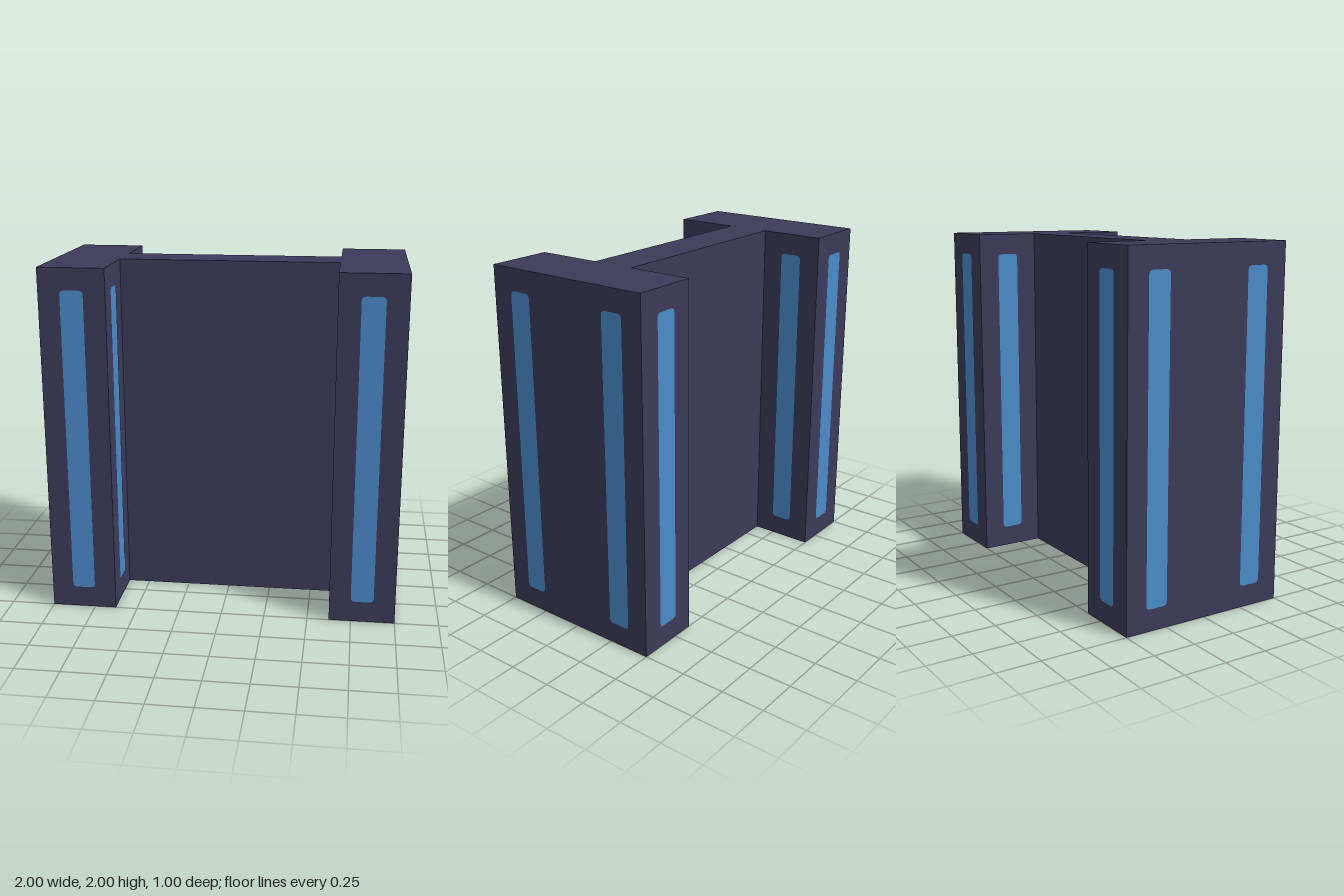
import * as THREE from 'three';

const bodyMaterial = new THREE.MeshStandardMaterial({ color: 0x3d3a5a });
bodyMaterial.name = 'dark violet';
const stripMaterial = new THREE.MeshStandardMaterial({ color: 0x4a8ccb });
stripMaterial.name = 'bright blue';

// Upright rounded strip, centred on its own origin and facing +z
function stripGeometry(width, height, r) {
  const x = width / 2, y = height / 2;
  const s = new THREE.Shape();
  s.moveTo(-x + r, -y);
  s.lineTo(x - r, -y);
  s.quadraticCurveTo(x, -y, x, -y + r);
  s.lineTo(x, y - r);
  s.quadraticCurveTo(x, y, x - r, y);
  s.lineTo(-x + r, y);
  s.quadraticCurveTo(-x, y, -x, y - r);
  s.lineTo(-x, -y + r);
  s.quadraticCurveTo(-x, -y, -x + r, -y);
  return new THREE.ShapeGeometry(s, 4);
}

export function createModel() {
  const group = new THREE.Group();
  group.name = 'pillarWall';

  // Two thick pillars joined by a thinner wall: one H-shaped plan pulled upward
  const outer = 1, inner = 0.625, depth = 0.5, wall = 0.125;
  const plan = new THREE.Shape([
    [-outer, -depth], [-inner, -depth], [-inner, -wall], [inner, -wall],
    [inner, -depth], [outer, -depth], [outer, depth], [inner, depth],
    [inner, wall], [-inner, wall], [-inner, depth], [-outer, depth],
  ].map(([x, z]) => new THREE.Vector2(x, z)));
  const bodyGeometry = new THREE.ExtrudeGeometry(plan, { depth: 2, bevelEnabled: false });
  bodyGeometry.rotateX(-Math.PI / 2);
  const body = new THREE.Mesh(bodyGeometry, bodyMaterial);
  body.name = 'pillarsAndWall';
  group.add(body);

  // Light strips on every free pillar face
  const geometry = stripGeometry(0.13, 1.755, 0.025);
  const lift = 0.002;
  const addStrip = (name, x, z, turn) => {
    const strip = new THREE.Mesh(geometry, stripMaterial);
    strip.name = name;
    strip.position.set(x, 1, z);
    strip.rotation.y = turn;
    group.add(strip);
  };
  for (const sx of [-1, 1]) {
    const side = sx > 0 ? 'left' : 'right';
    for (const sz of [-1, 1]) {
      const end = sz > 0 ? 'Front' : 'Back';
      addStrip(`${side}${end}EndStrip`, sx * 0.8125, sz * (depth + lift), sz > 0 ? 0 : Math.PI);
      addStrip(`${side}${end}OuterStrip`, sx * (outer + lift), sz * 0.3125, sx * Math.PI / 2);
      addStrip(`${side}${end}InnerStrip`, sx * (inner - lift), sz * 0.3125, -sx * Math.PI / 2);
    }
  }
  return group;
}
